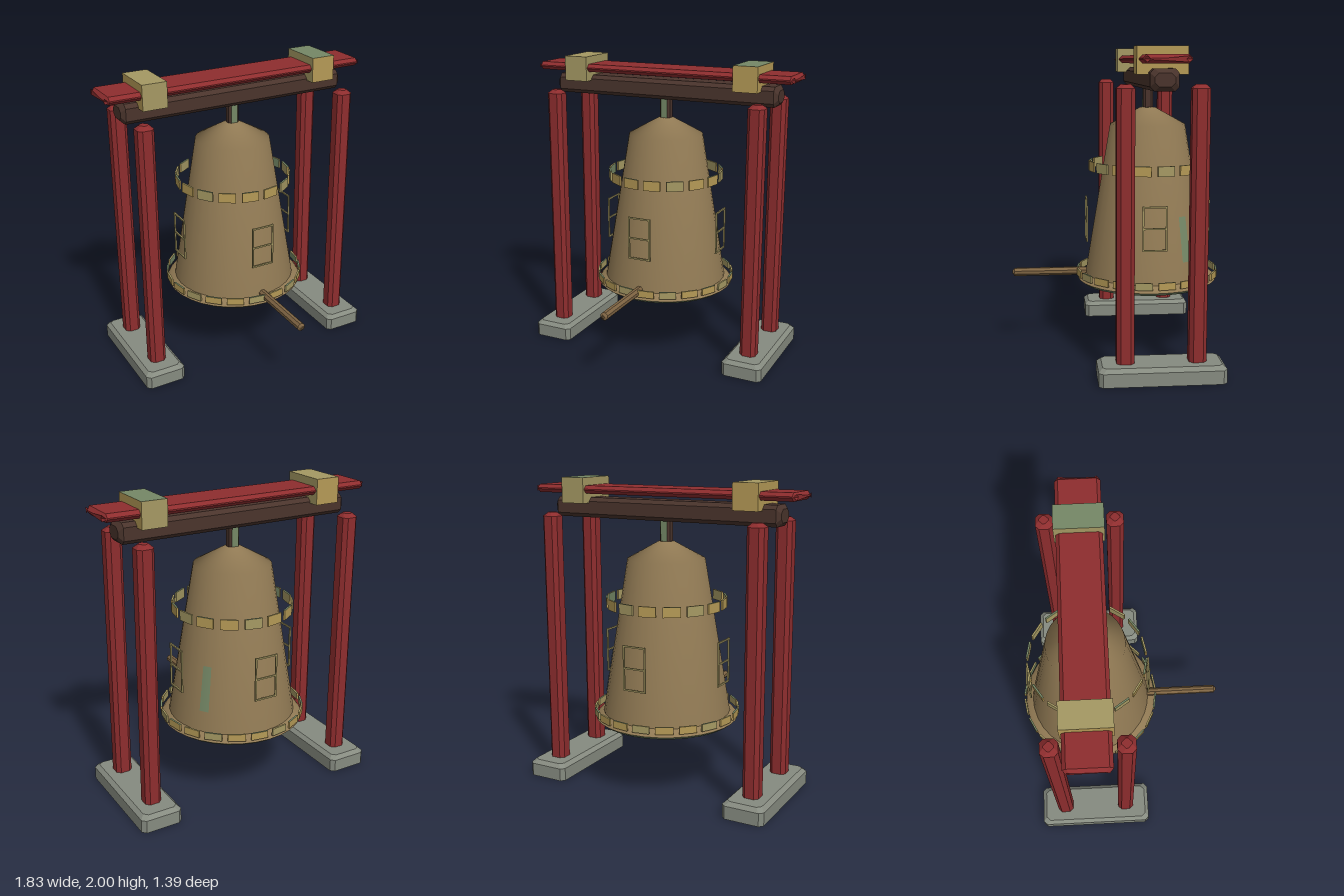
import * as THREE from 'three';

const paint = (name, color, side = THREE.FrontSide) => {
  const m = new THREE.MeshStandardMaterial({ color, side });
  m.name = name;
  return m;
};

// Straight bar with an eight-sided section; levels are [y, inset] from bottom to top
function prism(w, d, c, levels, capBottom = true) {
  const ring = ([y, inset]) => {
    const a = w / 2 - inset, b = d / 2 - inset;
    return [[a, b - c], [a, c - b], [a - c, -b], [c - a, -b], [-a, c - b], [-a, b - c], [c - a, b], [a - c, b]]
      .map(([x, z]) => [x, y, z]);
  };
  const rings = levels.map(ring), pos = [];
  for (let k = 0; k < rings.length - 1; k++) {
    const a = rings[k], b = rings[k + 1];
    for (let i = 0; i < 8; i++) {
      const j = (i + 1) % 8;
      pos.push(...a[i], ...a[j], ...b[j], ...a[i], ...b[j], ...b[i]);
    }
  }
  const top = rings[rings.length - 1], low = rings[0];
  for (let i = 1; i < 7; i++) {
    pos.push(...top[0], ...top[i], ...top[i + 1]);
    if (capBottom) pos.push(...low[0], ...low[i + 1], ...low[i]);
  }
  const g = new THREE.BufferGeometry();
  g.setAttribute('position', new THREE.Float32BufferAttribute(pos, 3));
  g.computeVertexNormals();
  return g;
}

// Bar chamfered at both ends, running from y0 to y1
const bar = (w, d, c, y0, y1) => prism(w, d, c, [[y0, c], [y0 + c, 0], [y1 - c, 0], [y1, c]]);

const lathe = (pts, start = 0, sweep = Math.PI * 2, n = 32) =>
  new THREE.LatheGeometry(pts.map(([x, y]) => new THREE.Vector2(x, y)), n, start, sweep);

// Box without its bottom; face groups run +x, -x, +y, +z, -z
function openBox(w, h, d) {
  const g = new THREE.BoxGeometry(w, h, d);
  const idx = Array.from(g.index.array);
  idx.splice(18, 6);
  g.setIndex(idx);
  g.clearGroups();
  for (let i = 0; i < 5; i++) g.addGroup(i * 6, 6, i);
  return g;
}

export function createModel() {
  const root = new THREE.Group();
  root.name = 'hangingBell';
  const red = paint('red lacquer', 0x8e2d2e);
  const wood = paint('dark wood', 0x4a342c);
  const pole = paint('pole wood', 0x7d6342);
  const bronze = paint('bronze', 0x917a54);
  const stone = paint('stone', 0x868b80, THREE.DoubleSide);
  const gold = paint('gold', 0xb59a56, THREE.DoubleSide);
  const khaki = paint('dull gold', 0xa59963, THREE.DoubleSide);
  const green = paint('patina', 0x758866, THREE.DoubleSide);

  const add = (parent, name, geo, mat, x = 0, y = 0, z = 0) => {
    const m = new THREE.Mesh(geo, mat);
    m.name = name;
    m.position.set(x, y, z);
    parent.add(m);
    return m;
  };
  const Z = -0.22;

  // Stone footings and posts
  const footing = prism(0.275, 0.775, 0.025, [[0, 0], [0.085, 0], [0.11, 0.025]], false);
  const post = bar(0.108, 0.108, 0.024, 0.05, 1.78);
  for (const s of [1, -1]) {
    const side = s > 0 ? 'left' : 'right';
    add(root, side + 'Footing', footing, stone, s * 0.72, 0, Z);
    add(root, side + 'FrontPost', post, red, s * 0.72, 0, 0);
    add(root, side + 'BackPost', post, red, s * 0.72, 0, -0.44);
  }

  // Cross beam, ridge board and the caps over them
  add(root, 'crossBeam', bar(0.13, 0.17, 0.025, -0.8, 0.8), wood, 0, 1.805, Z).rotation.z = -Math.PI / 2;
  add(root, 'ridgeBoard', bar(0.052, 0.28, 0.022, -0.915, 0.915), red, 0, 1.923, Z).rotation.z = -Math.PI / 2;
  const cap = openBox(0.165, 0.165, 0.305);
  add(root, 'leftCap', cap, [gold, khaki, green, gold, khaki], 0.608, 1.9175, Z);
  add(root, 'rightCap', cap, [khaki, gold, khaki, khaki, gold], -0.608, 1.9175, Z);

  // Hanger with patina on its front and back faces
  const hangerGeo = prism(0.075, 0.065, 0.015, [[1.6, 0], [1.75, 0]]);
  for (let i = 0; i < 8; i++) hangerGeo.addGroup(i * 6, 6, i === 2 || i === 6 ? 1 : 0);
  add(root, 'hanger', hangerGeo, [wood, green], 0, 0, Z);

  // Bell body, rim and closed underside
  const bell = new THREE.Group();
  bell.name = 'bell';
  bell.position.z = Z;
  root.add(bell);
  add(bell, 'bellBody', lathe([[0.418, 0.49], [0.25, 1.5], [0.05, 1.61], [0, 1.612]]), bronze);
  add(bell, 'rim', lathe([[0.468, 0.46], [0.452, 0.48], [0.412, 0.5]]), bronze);
  add(bell, 'rimEdge', lathe([[0.442, 0.44], [0.468, 0.46]]), green);
  add(bell, 'underside', lathe([[0, 0.44], [0.442, 0.44]]), green);

  // Patina streak lying on the bell wall
  add(bell, 'patinaStreak', lathe([[0.399, 0.63], [0.351, 0.92]], 2.07, 0.16, 4), green);

  // Rings of small plates around the bell
  const plateRing = (name, count, radius, y, h) => {
    const geo = new THREE.BoxGeometry(0.112, h, 0.012);
    const ring = new THREE.Group();
    ring.name = name;
    for (let i = 0; i < count; i++) {
      const a = (i + 0.5) / count * Math.PI * 2;
      const face = i % 3 === 1 ? khaki : gold;
      const edge = i % 2 ? green : khaki;
      const m = add(ring, 'plate', geo, [face, face, edge, edge, face, i % 4 ? khaki : green],
        radius * Math.sin(a), y, radius * Math.cos(a));
      m.rotation.y = a;
    }
    bell.add(ring);
  };
  plateRing('upperPlateRing', 16, 0.382, 1.225, 0.065);
  plateRing('lowerPlateRing', 20, 0.468, 0.505, 0.047);

  // Plain lattice ornaments on the four sides
  const rung = new THREE.BoxGeometry(0.155, 0.01, 0.01);
  const rail = new THREE.BoxGeometry(0.01, 0.29, 0.01);
  for (let k = 0; k < 4; k++) {
    const panel = new THREE.Group();
    panel.name = 'latticeOrnament';
    panel.rotation.y = k * Math.PI / 2;
    for (const y of [0.725, 0.865, 1.003]) add(panel, 'rung', rung, khaki, 0, y, 0.41);
    for (const x of [-0.074, 0.074]) add(panel, 'rail', rail, khaki, x, 0.865, 0.41);
    bell.add(panel);
  }

  // Striking pole in front of the bell
  add(root, 'strikingPole', bar(0.052, 0.052, 0.016, 0.12, 0.692), pole, 0, 0.505, 0).rotation.x = Math.PI / 2;

  return root;
}
